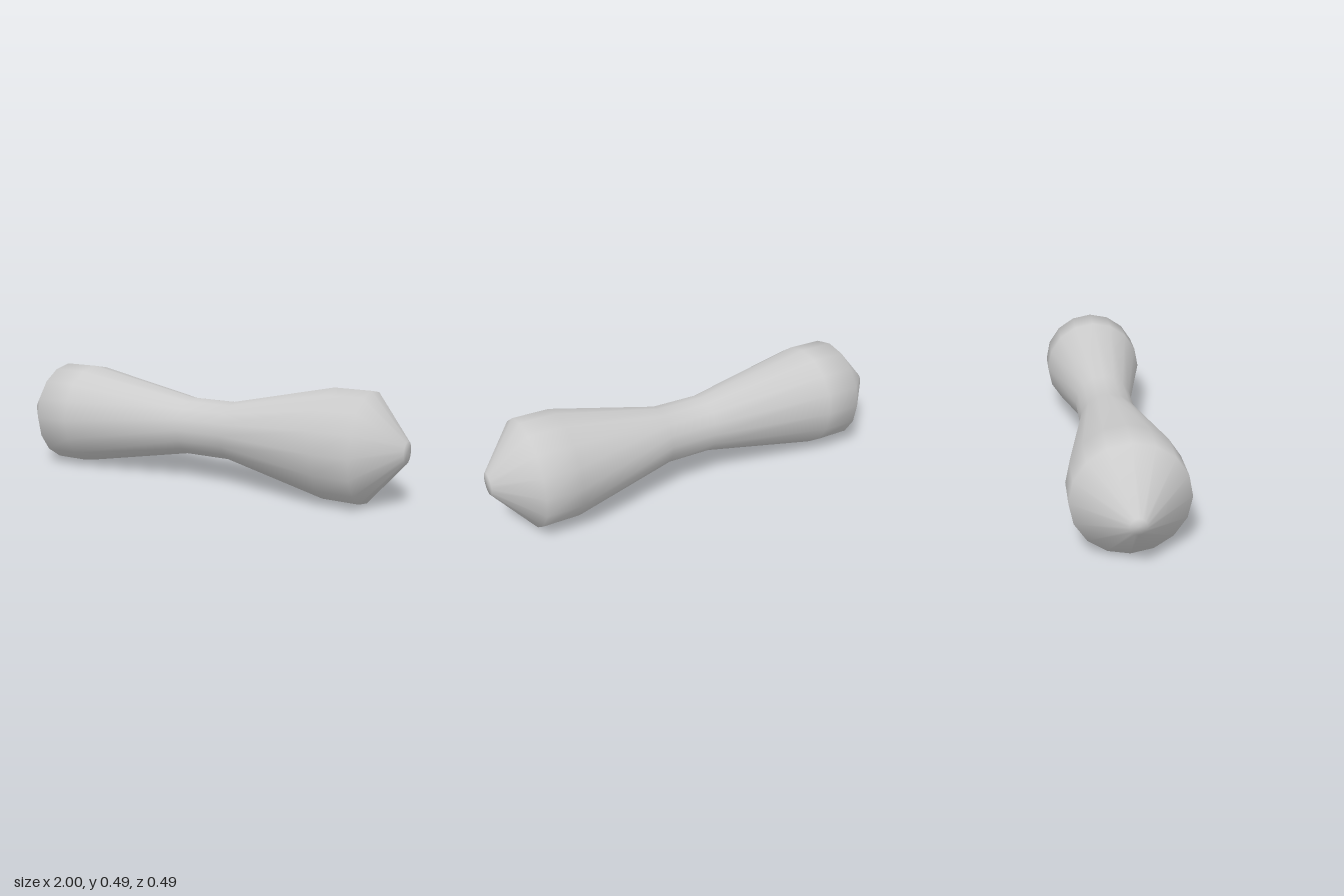
import * as THREE from 'three';

export function createModel() {
  const group = new THREE.Group();
  const radius = 0.244;

  // Half outline as [radius, position along x], from the right end to the left end
  const profile = [
    [0, -1], [0.034, -1], [radius, -0.8], [radius, -0.63],
    [0.135, -0.05], [0.135, 0.18],
    [radius, 0.67], [radius, 0.835], [0.049, 1], [0, 1],
  ].map(([r, x]) => new THREE.Vector2(r, x));

  // Waisted bar with two bulging ends, turned to lie along x
  const geometry = new THREE.LatheGeometry(profile, 16);
  geometry.rotateZ(-Math.PI / 2);
  geometry.translate(0, radius, 0);

  const bar = new THREE.Mesh(geometry, new THREE.MeshStandardMaterial({ color: 0xcccccc }));
  bar.name = 'waistedBar';
  group.add(bar);
  return group;
}
